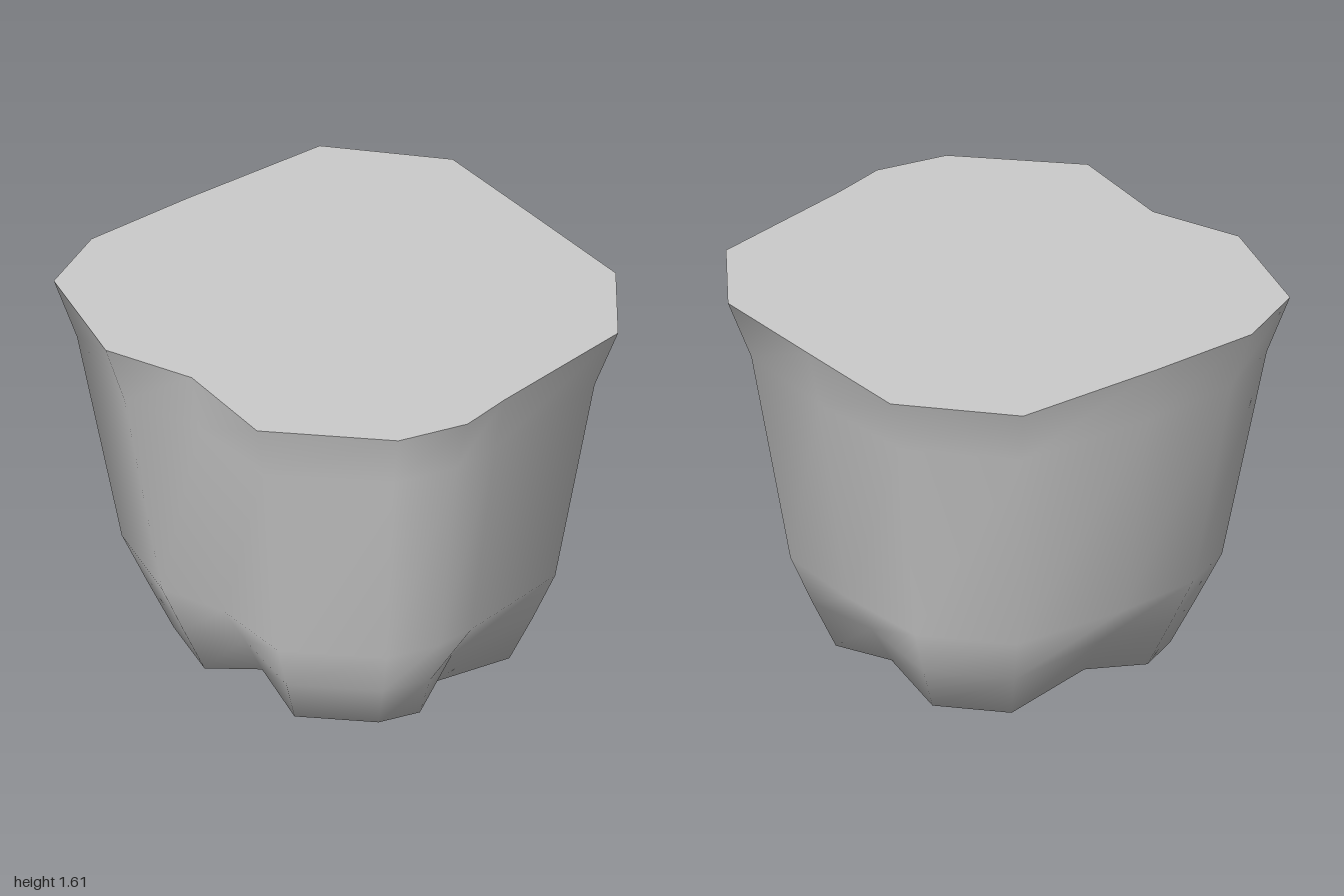
import * as THREE from 'three';

// Rim outline as [x, z, isGroove], running clockwise seen from above
const OUTLINE = [
  [-0.26, -0.98], [0.24, -0.87, 1], [0.73, -0.76], [1.0, -0.44], [0.95, 0.2, 1],
  [0.945, 0.42], [0.81, 0.68], [0.34, 0.97], [-0.09, 0.84, 1], [-0.47, 0.9],
  [-0.93, 0.65], [-1.0, 0.33], [-0.89, -0.12, 1], [-0.72, -0.73],
];

// Cross-sections: height, scale, x and z shift, groove scale, groove height
const RINGS = [
  { y: 1.61, s: 1, ox: 0, oz: 0, g: 1, gy: 1.61 },
  { y: 1.36, s: 0.917, ox: 0.003, oz: 0.01, g: 1.03, gy: 1.36 },
  { y: 0.45, s: 0.768, ox: 0.013, oz: 0.015, g: 1.03, gy: 0.45 },
  { y: 0.24, s: 0.682, ox: 0.02, oz: 0.018, g: 0.97, gy: 0.27 },
  { y: 0.04, s: 0.595, ox: 0.025, oz: 0.022, g: 0.93, gy: 0.095 },
  { y: 0.0, s: 0.37, ox: 0.04, oz: 0.04, g: 0.9, gy: 0.08 }, // cusp tips
];

const ringPoints = ({ y, s, ox, oz, g, gy }) => OUTLINE.map(([x, z, groove]) => {
  const k = groove ? s * g : s;
  return [x * k + ox, groove ? gy : y, z * k + oz];
});

function surface(points, index, name) {
  const geometry = new THREE.BufferGeometry();
  geometry.setAttribute('position', new THREE.Float32BufferAttribute(points.flat(), 3));
  geometry.setIndex(index);
  geometry.computeVertexNormals();
  const mesh = new THREE.Mesh(geometry, new THREE.MeshStandardMaterial({ color: 0xcccccc }));
  mesh.name = name;
  return mesh;
}

export function createModel() {
  const group = new THREE.Group();
  group.name = 'toothCrown';
  const n = OUTLINE.length;

  // Side wall, lower cusps and central pit as one smooth skin
  const points = RINGS.flatMap(ringPoints);
  const index = [];
  for (let r = 0; r < RINGS.length - 1; r++) {
    for (let i = 0; i < n; i++) {
      const j = (i + 1) % n;
      const a = r * n + i, b = r * n + j, c = a + n, d = b + n;
      index.push(a, b, d, a, d, c);
    }
  }
  const pit = points.length;
  points.push([0.04, 0.11, 0.04]);
  const last = (RINGS.length - 1) * n;
  for (let i = 0; i < n; i++) index.push(last + i, last + (i + 1) % n, pit);
  group.add(surface(points, index, 'crownWall'));

  // Flat cap
  const capIndex = [];
  for (let i = 0; i < n; i++) capIndex.push(n, (i + 1) % n, i);
  group.add(surface([...ringPoints(RINGS[0]), [0, RINGS[0].y, 0]], capIndex, 'topCap'));

  return group;
}
